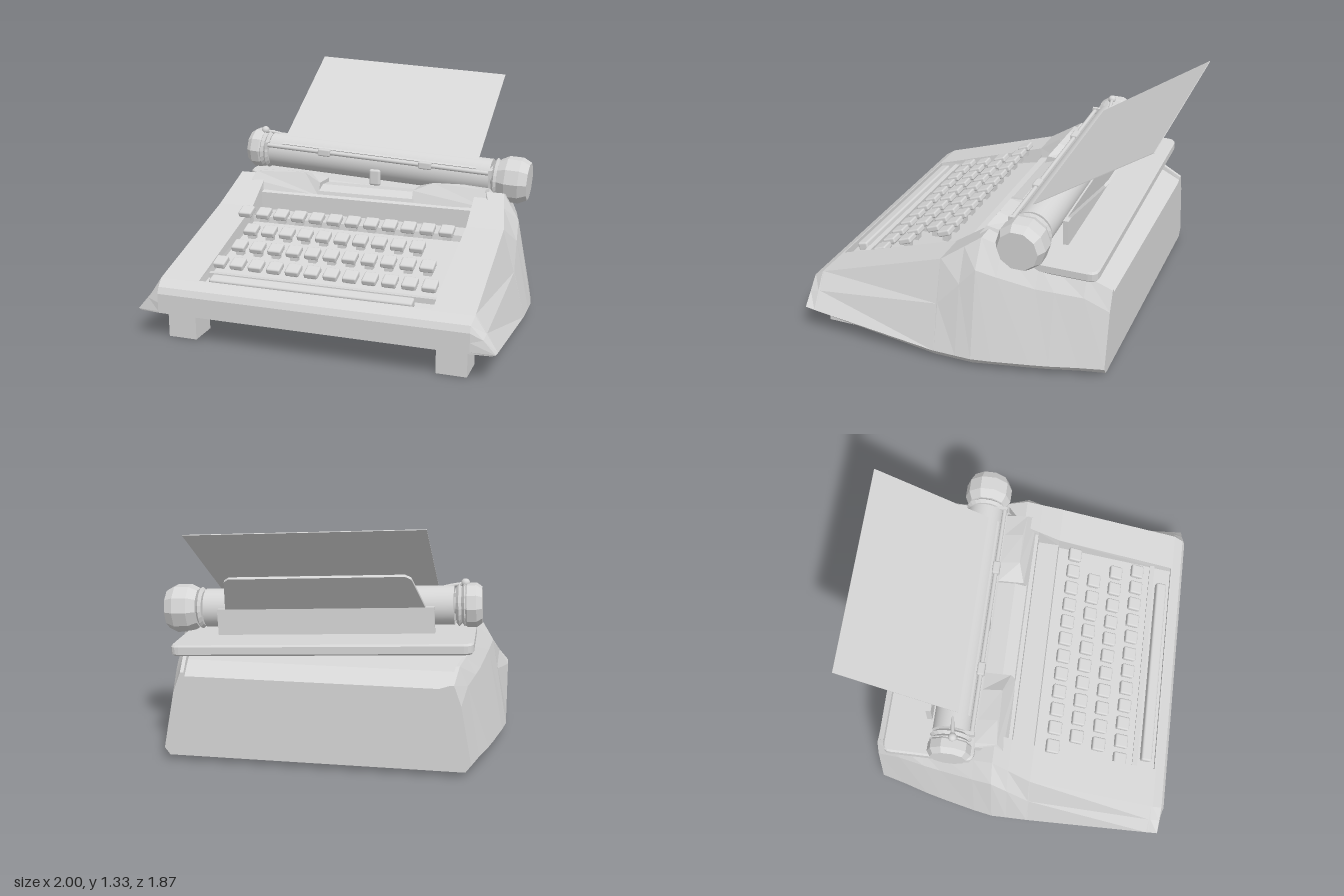
import * as THREE from 'three';
import { RoundedBoxGeometry } from 'three/addons/geometries/RoundedBoxGeometry.js';

const grey = new THREE.MeshStandardMaterial({ color: 0xd6d6d6 });
grey.name = 'light grey';

function add(parent, name, geometry, x = 0, y = 0, z = 0) {
  const mesh = new THREE.Mesh(geometry, grey);
  mesh.name = name;
  mesh.position.set(x, y, z);
  parent.add(mesh);
  return mesh;
}

// Hard-edged copy of a geometry
function flat(geometry) {
  const g = geometry.index ? geometry.toNonIndexed() : geometry;
  g.computeVertexNormals();
  return g;
}

// Side profile of [z, y] points extruded along x and centred on x = 0
function sideProfile(points, width) {
  const shape = new THREE.Shape(points.map(([z, y]) => new THREE.Vector2(z, y)));
  const g = new THREE.ExtrudeGeometry(shape, { depth: width, bevelEnabled: false });
  return g.translate(0, 0, -width / 2).rotateY(-Math.PI / 2);
}

// Turned part along the x axis from [radius, x] points
function turned(points, sides) {
  const g = new THREE.LatheGeometry(points.map(([r, x]) => new THREE.Vector2(r, x)), sides);
  return g.rotateZ(-Math.PI / 2);
}

// Raised hood end: front outline extruded back, with a leaning front and a falling top
function hoodEnd(side) {
  const outline = [[0.74, 0.64], [0.735, 0.69], [0.715, 0.735], [0.58, 0.753],
    [0.4, 0.747], [0.29, 0.7], [0.29, 0.625]];
  const shape = new THREE.Shape(outline.map(([x, y]) => new THREE.Vector2(side * x, y)));
  const g = new THREE.ExtrudeGeometry(shape, { depth: 0.18, bevelEnabled: false });
  const p = g.attributes.position;
  for (let i = 0; i < p.count; i++) {
    const y = p.getY(i);
    if (p.getZ(i) > 0.09) p.setZ(i, -0.02 - Math.max(0, y - 0.66) * 0.75);
    else p.setXYZ(i, p.getX(i), y - Math.max(0, y - 0.69) * 0.5, -0.2);
  }
  return flat(g);
}

// Housing: symmetric cross-sections from front to back
// z, bottom x y, belt x y, shoulder x y, top x y, floor y
function housing() {
  const sections = [
    [0.93, 0.865, 0.16, 0.87, 0.17, 0.87, 0.22, 0.87, 0.27, 0.27],
    [0.914, 0.98, 0.157, 1.0, 0.165, 0.935, 0.235, 0.87, 0.305, 0.305],
    [0.86, 0.98, 0.145, 1.0, 0.157, 0.94, 0.25, 0.88, 0.34, 0.34],
    [0.85, 0.98, 0.143, 1.0, 0.155, 0.94, 0.25, 0.88, 0.343, 0.343],
    [0.85, 0.98, 0.143, 1.0, 0.155, 0.94, 0.25, 0.88, 0.343, 0.30],
    [0.13, 0.97, 0.03, 1.0, 0.07, 0.935, 0.33, 0.868, 0.57, 0.475],
    [0.125, 0.97, 0.03, 1.0, 0.07, 0.935, 0.335, 0.868, 0.573, 0.51],
    [0.0, 0.97, 0.03, 1.0, 0.07, 0.92, 0.47, 0.84, 0.658, 0.52],
    [0.0, 0.97, 0.03, 1.0, 0.07, 0.92, 0.47, 0.84, 0.658, 0.625],
    [-0.09, 0.97, 0.03, 1.0, 0.07, 0.91, 0.57, 0.82, 0.72, 0.66],
    [-0.2, 0.945, 0.03, 0.98, 0.07, 0.89, 0.54, 0.81, 0.685, 0.62],
    [-0.4, 0.90, 0.03, 0.935, 0.07, 0.85, 0.49, 0.79, 0.61, 0.57],
    [-0.5, 0.875, 0.03, 0.91, 0.07, 0.83, 0.48, 0.775, 0.575, 0.555],
    [-0.65, 0.83, 0.03, 0.865, 0.07, 0.795, 0.46, 0.75, 0.565, 0.535],
    [-0.785, 0.80, 0.03, 0.83, 0.07, 0.77, 0.39, 0.73, 0.50, 0.48],
  ];
  const loops = sections.map(([z, bx, by, ex, ey, sx, sy, tx, ty, fy]) => {
    const inner = z < -0.15 ? tx - 0.02 : 0.655;
    // The base plate between the sides runs straight, above their lower edges
    const baseY = Math.max(by, 0.03 + 0.0925 * (z + 0.45));
    const half = [[0.655, baseY], [0.66, by], [bx, by], [ex, ey], [sx, sy], [tx, ty], [inner, ty], [inner - 0.005, fy]];
    const other = half.map(([x, y]) => [-x, y]).reverse();
    return half.concat(other).map(([x, y]) => [x, y, z]);
  });
  const pos = [];
  const tri = (a, b, c) => pos.push(...a, ...b, ...c);
  const n = loops[0].length;
  for (let s = 0; s < loops.length - 1; s++) {
    const A = loops[s], B = loops[s + 1];
    for (let i = 0; i < n; i++) {
      const j = (i + 1) % n;
      tri(A[i], B[i], A[j]);
      tri(A[j], B[i], B[j]);
    }
  }
  const front = loops[0], back = loops[loops.length - 1];
  for (let i = 1; i < n - 1; i++) {
    tri(front[0], front[i], front[i + 1]);
    tri(back[0], back[i + 1], back[i]);
  }
  const g = new THREE.BufferGeometry();
  g.setAttribute('position', new THREE.Float32BufferAttribute(pos, 3));
  g.computeVertexNormals();
  return g;
}

function addKeyboard(model) {
  const keyboard = new THREE.Group();
  keyboard.name = 'keyboard';
  model.add(keyboard);
  const cap = new RoundedBoxGeometry(0.08, 0.036, 0.08, 2, 0.01);
  const stem = new THREE.BoxGeometry(0.045, 0.045, 0.035);
  // z, y, first x, number of keys
  const rows = [[0.235, 0.566, -0.645, 12], [0.367, 0.502, -0.555, 10],
    [0.5, 0.444, -0.57, 11], [0.635, 0.385, -0.63, 12]];
  for (const [z, y, x0, count] of rows) {
    for (let i = 0; i < count; i++) {
      const x = x0 + i * 0.1105;
      add(keyboard, 'keyCap', cap, x, y, z).rotation.x = 0.36;
      add(keyboard, 'keyStem', stem, x, y - 0.03, z - 0.005);
    }
  }
  // Space bar and the rail behind it
  add(keyboard, 'spaceBar', new RoundedBoxGeometry(1.15, 0.05, 0.065, 2, 0.012), -0.035, 0.332, 0.795).rotation.x = 0.25;
  add(keyboard, 'keyRail', new THREE.BoxGeometry(1.3, 0.04, 0.03), 0, 0.335, 0.73);
}

function addCarriage(model) {
  // The whole carriage leans slightly down towards +x
  const carriage = new THREE.Group();
  carriage.name = 'carriage';
  carriage.position.set(0, 0.785, -0.33);
  carriage.rotation.z = -0.05;
  model.add(carriage);

  // Tray with rounded corners
  const w = 0.815, d = 0.26, r = 0.05;
  const s = new THREE.Shape();
  s.moveTo(-w + r, -d).lineTo(w - r, -d).quadraticCurveTo(w, -d, w, -d + r);
  s.lineTo(w, d - r).quadraticCurveTo(w, d, w - r, d);
  s.lineTo(-w + r, d).quadraticCurveTo(-w, d, -w, d - r);
  s.lineTo(-w, -d + r).quadraticCurveTo(-w, -d, -w + r, -d);
  const tray = new THREE.ExtrudeGeometry(s, { depth: 0.04, bevelSize: 0.01, bevelThickness: 0.01, bevelOffset: -0.01, bevelSegments: 1, curveSegments: 4 });
  add(carriage, 'carriageTray', tray.rotateX(-Math.PI / 2), 0, -0.169, -0.13);

  // Roller, collars and faceted knobs
  add(carriage, 'roller', new THREE.CylinderGeometry(0.108, 0.108, 1.4, 32).rotateZ(Math.PI / 2));
  add(carriage, 'rollerAxle', new THREE.CylinderGeometry(0.05, 0.05, 1.6, 12).rotateZ(Math.PI / 2));
  for (const x of [-0.755, -0.725, 0.728]) {
    add(carriage, 'collar', flat(turned([[0, -0.015], [0.1, -0.015], [0.118, 0], [0.1, 0.015], [0, 0.015]], 20)), x);
  }
  const knob = (h, rad) => flat(turned([[0, -h], [rad * 0.82, -h], [rad, -h * 0.45],
    [rad, h * 0.45], [rad * 0.82, h], [0, h]], 10));
  add(carriage, 'rightEndKnob', knob(0.09, 0.137), 0.835);
  add(carriage, 'leftEndKnob', knob(0.055, 0.122), -0.795);

  // Paper bail rod with its grips and end brackets
  add(carriage, 'bailRod', new THREE.CylinderGeometry(0.013, 0.013, 1.44, 10).rotateZ(Math.PI / 2), 0, 0.048, 0.115);
  for (const x of [-0.325, 0.315]) {
    add(carriage, 'bailGrip', new RoundedBoxGeometry(0.08, 0.045, 0.045, 1, 0.01), x, 0.048, 0.115);
  }
  for (const side of [-1, 1]) {
    add(carriage, 'bailBracket', new THREE.BoxGeometry(0.02, 0.045, 0.14), side * 0.71, 0.045, 0.06);
  }

  // Return lever
  const path = new THREE.CatmullRomCurve3([new THREE.Vector3(-0.755, 0.115, 0.02),
    new THREE.Vector3(-0.69, 0.108, 0.01), new THREE.Vector3(-0.62, 0.095, 0)]);
  add(carriage, 'leverArm', new THREE.TubeGeometry(path, 8, 0.01, 8));
  add(carriage, 'leverBall', new THREE.SphereGeometry(0.025, 12, 8), -0.76, 0.118, 0.02);

  // Rear plate and leaning paper rest
  add(carriage, 'rearPlate', new THREE.BoxGeometry(1.2, 0.15, 0.03), 0, -0.05, -0.147);
  const rest = new THREE.Shape([new THREE.Vector2(-0.56, 0), new THREE.Vector2(0.56, 0),
    new THREE.Vector2(0.5, 0.285), new THREE.Vector2(0.47, 0.31),
    new THREE.Vector2(-0.47, 0.31), new THREE.Vector2(-0.5, 0.285)]);
  add(carriage, 'paperRest', new THREE.ExtrudeGeometry(rest, { depth: 0.015, bevelEnabled: false }), 0, 0, -0.14)
    .rotation.x = -0.73;

  // Sheet of paper leaning back from the roller
  const length = Math.hypot(0.7, 0.455);
  add(carriage, 'paper', new THREE.BoxGeometry(1.23, length, 0.004), 0.002, 0.2875, -0.257)
    .rotation.x = -Math.atan2(0.7, 0.455);
}

export function createModel() {
  const model = new THREE.Group();
  model.name = 'typewriter';
  add(model, 'housing', housing());
  addKeyboard(model);

  // Hood over the type bars: two raised ends and a lower middle
  for (const side of [-1, 1]) add(model, 'hoodEnd', hoodEnd(side));
  const middle = [[-0.2, 0.58], [-0.02, 0.62], [-0.03, 0.655], [-0.1, 0.68], [-0.2, 0.67]];
  add(model, 'hoodMiddle', sideProfile(middle, 0.6));
  add(model, 'typeGuide', new RoundedBoxGeometry(0.07, 0.1, 0.03, 2, 0.014), 0, 0.715, -0.225);

  addCarriage(model);

  // Square front feet and round rear feet
  for (const side of [-1, 1]) {
    add(model, 'frontFoot', new THREE.BoxGeometry(0.165, 0.17, 0.17), side * 0.763, 0.085, 0.777);
    add(model, 'rearFoot', flat(new THREE.CylinderGeometry(0.055, 0.05, 0.04, 12)), side * 0.735, 0.02, -0.655);
  }
  return model;
}
